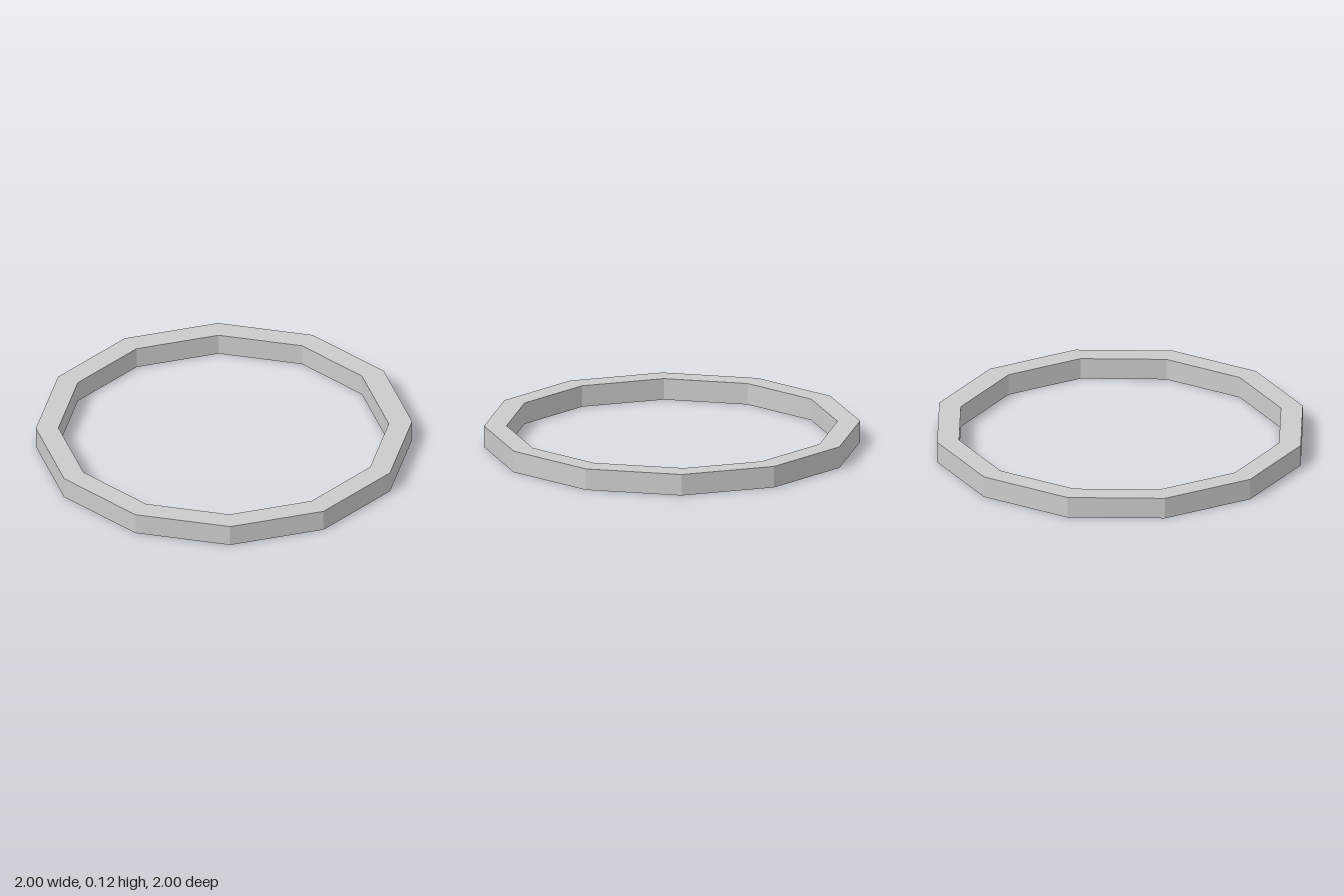
import * as THREE from 'three';

const SIDES = 12;
const STEP = (2 * Math.PI) / SIDES;
const HEIGHT = 0.12;

// Corners of a polygon given the distance of each side from the centre
function corners(distance) {
  const points = [];
  for (let k = 0; k < SIDES; k++) {
    const a = k * STEP, b = a + STEP;
    const d = distance(k), e = distance((k + 1) % SIDES);
    points.push(new THREE.Vector2(
      (d * Math.sin(b) - e * Math.sin(a)) / Math.sin(STEP),
      (e * Math.cos(a) - d * Math.cos(b)) / Math.sin(STEP)
    ));
  }
  return points;
}

export function createModel() {
  const group = new THREE.Group();
  group.name = 'twelveSidedRing';

  // Outer outline with a hole; one inner side sits slightly further in
  const outline = new THREE.Shape(corners(() => 1));
  outline.holes.push(new THREE.Path(corners((k) => (k === 1 ? 0.87 : 0.88))));

  const geometry = new THREE.ExtrudeGeometry(outline, { depth: HEIGHT, bevelEnabled: false });
  geometry.rotateX(-Math.PI / 2);

  const ring = new THREE.Mesh(
    geometry,
    new THREE.MeshStandardMaterial({ color: 0xcccccc, flatShading: true })
  );
  ring.name = 'ring';
  group.add(ring);
  return group;
}
